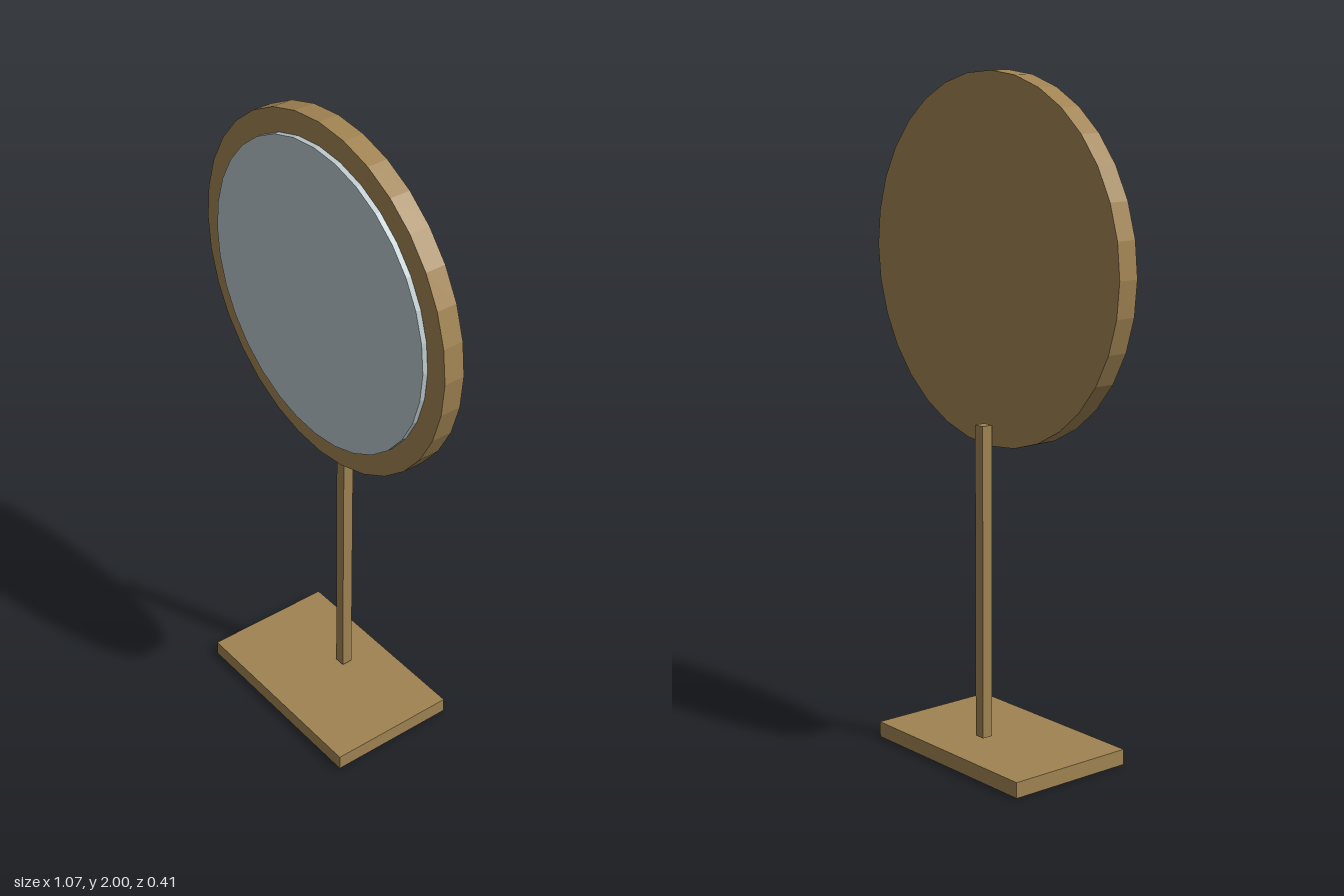
import * as THREE from 'three';

export function createModel() {
  const model = new THREE.Group();
  model.name = 'standMirror';

  const wood = new THREE.MeshStandardMaterial({ color: 0xa08352, flatShading: true });
  wood.name = 'wood';
  const glass = new THREE.MeshStandardMaterial({ color: 0xbac7cc, flatShading: true });
  glass.name = 'mirrorGlass';

  const add = (name, geometry, material, x, y, z) => {
    const mesh = new THREE.Mesh(geometry, material);
    mesh.name = name;
    mesh.position.set(x, y, z);
    model.add(mesh);
  };

  // Faceted disc facing +z, spanning z0 to z1
  const addDisc = (name, radius, z0, z1, material) => {
    const geometry = new THREE.CylinderGeometry(radius, radius, z1 - z0, 32).rotateX(Math.PI / 2);
    add(name, geometry, material, 0, 1.466, (z0 + z1) / 2);
  };

  // Base slab
  add('base', new THREE.BoxGeometry(0.642, 0.047, 0.408), wood, 0, 0.0235, 0);

  // Square post standing just clear of the base, behind the disc
  add('post', new THREE.BoxGeometry(0.034, 0.938, 0.034), wood, 0, 0.529, -0.06);

  // Round backing board and the glass mounted on its front
  addDisc('frame', 0.534, -0.032, 0.032, wood);
  addDisc('mirror', 0.464, 0.032, 0.048, glass);

  return model;
}
